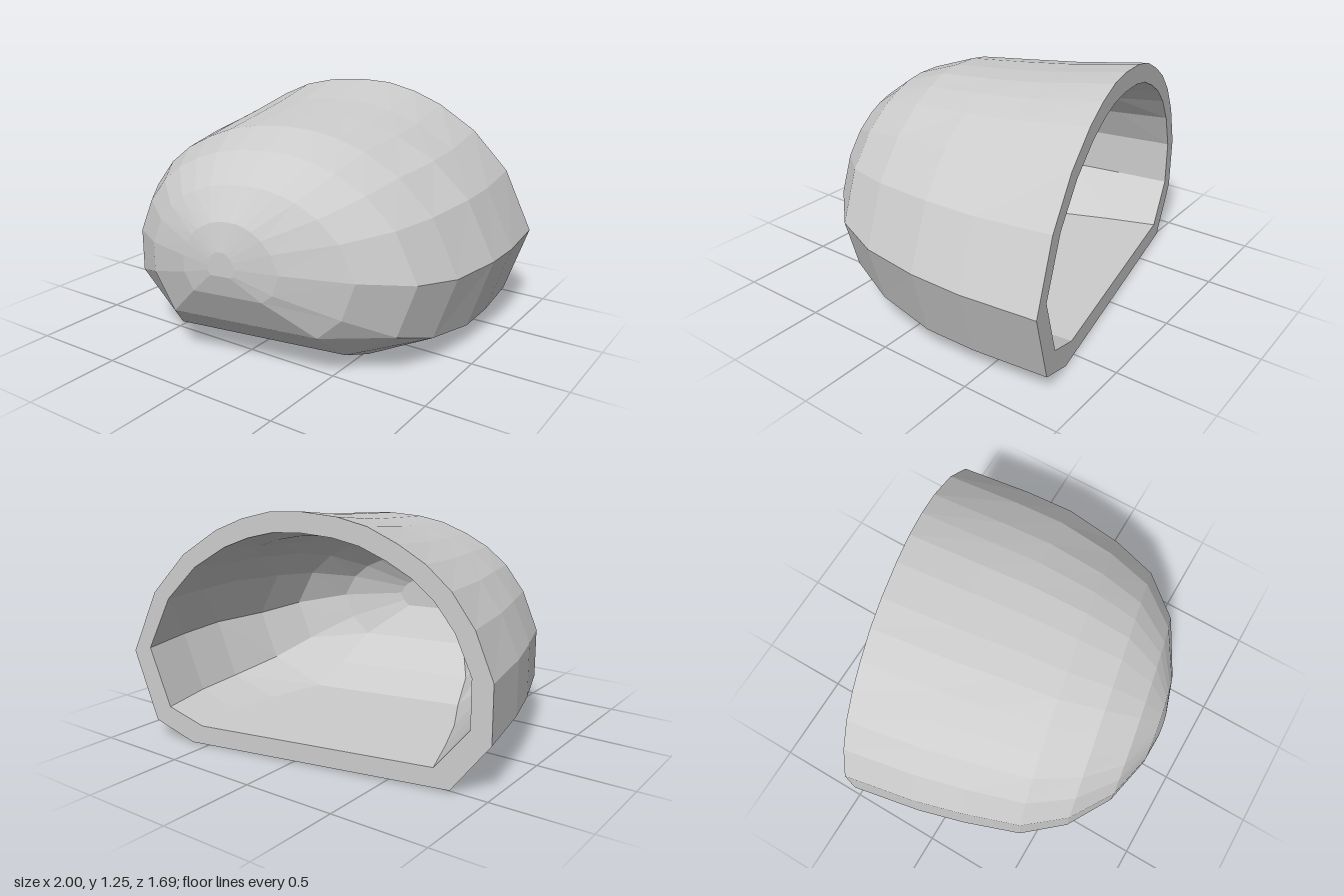
import * as THREE from 'three';

// Outline of the open end, clockwise from the lower -x corner
const RIM = [
  [-0.81, 0.01], [-1, 0.26], [-1, 0.55], [-0.91, 0.78], [-0.8, 0.94], [-0.68, 1.05],
  [-0.55, 1.13], [-0.4, 1.2], [-0.25, 1.235], [-0.06, 1.25], [0.1, 1.24], [0.25, 1.2],
  [0.4, 1.135], [0.6, 1.0], [0.79, 0.79], [0.94, 0.46], [0.82, 0.09], [0.6, 0],
];
const SLANT = 0.19; // every section lies in a plane z = c - SLANT * x
const WALL = 0.1;

// Sections from the opening to the nose:
// [c, xMin, xMax, yMin, yMax, lift of the sides, lift of the low corners, width of the sole]
const SECTIONS = [
  [-0.67, -1, 0.94, 0, 1.25, 0, 0, 1],
  [-0.28, -0.93, 0.99, 0, 1.195, 0.03, 0.01, 0.96],
  [-0.01, -0.86, 1.0, 0, 1.17, 0.05, 0.02, 0.9],
  [0.3, -0.76, 0.955, 0, 1.145, 0.05, 0.08, 0.78],
  [0.53, -0.6, 0.87, 0.09, 1.07, 0.05, 0.08, 0.85],
  [0.71, -0.38, 0.67, 0.24, 0.94, 0.04, 0.07, 1],
  [0.815, -0.13, 0.36, 0.42, 0.79, 0.01, 0.02, 1],
  [0.845, 0.02, 0.16, 0.53, 0.65, 0, 0, 1],
];

// Fits the outline into the box of one section, then lifts its sides and narrows its sole
function ring([c, x0, x1, y0, y1, side, corner, sole]) {
  return RIM.map(([px, py]) => {
    let x = x0 + ((px + 1) / 1.94) * (x1 - x0);
    const t = py / 1.25;
    let y = y0 + t * (y1 - y0);
    if (t > 0.05) y += side * 4 * t * (1 - t) + corner * (1 - t) ** 4;
    else x = 0.05 + (x - 0.05) * sole;
    return [x, y, c - SLANT * x];
  });
}

// Joins rings into a skin; cap closes the last ring
function loft(rings, cap, flip) {
  const pos = [];
  const tri = (a, b, c) => pos.push(...a, ...(flip ? c : b), ...(flip ? b : c));
  const n = RIM.length;
  for (let r = 0; r < rings.length - 1; r++) {
    for (let i = 0; i < n; i++) {
      const j = (i + 1) % n;
      const a = rings[r][i], b = rings[r][j], c = rings[r + 1][j], d = rings[r + 1][i];
      tri(a, d, c);
      tri(a, c, b);
    }
  }
  if (cap) {
    const last = rings[rings.length - 1];
    const mid = [0, 1, 2].map((k) => last.reduce((s, p) => s + p[k], 0) / n);
    for (let i = 0; i < n; i++) tri(last[i], mid, last[(i + 1) % n]);
  }
  const g = new THREE.BufferGeometry();
  g.setAttribute('position', new THREE.Float32BufferAttribute(pos, 3));
  g.computeVertexNormals();
  return g;
}

export function createModel() {
  const group = new THREE.Group();
  group.name = 'hollowCap';
  const grey = new THREE.MeshStandardMaterial({ color: 0xcccccc, flatShading: true });
  grey.name = 'grey';

  const add = (name, geometry) => {
    const mesh = new THREE.Mesh(geometry, grey);
    mesh.name = name;
    group.add(mesh);
  };

  const outer = SECTIONS.map(ring);
  // Inner skin: the same sections drawn in by the wall thickness
  const inner = SECTIONS.slice(0, 7).map(([c, x0, x1, y0, y1, ...shape], i) =>
    ring([i ? c - WALL : c, x0 + WALL, x1 - WALL, y0 + WALL, y1 - WALL, ...shape]));

  add('outerShell', loft(outer, true, false));
  add('innerLining', loft(inner, true, true));
  add('openingRim', loft([inner[0], outer[0]], false, false));
  return group;
}
